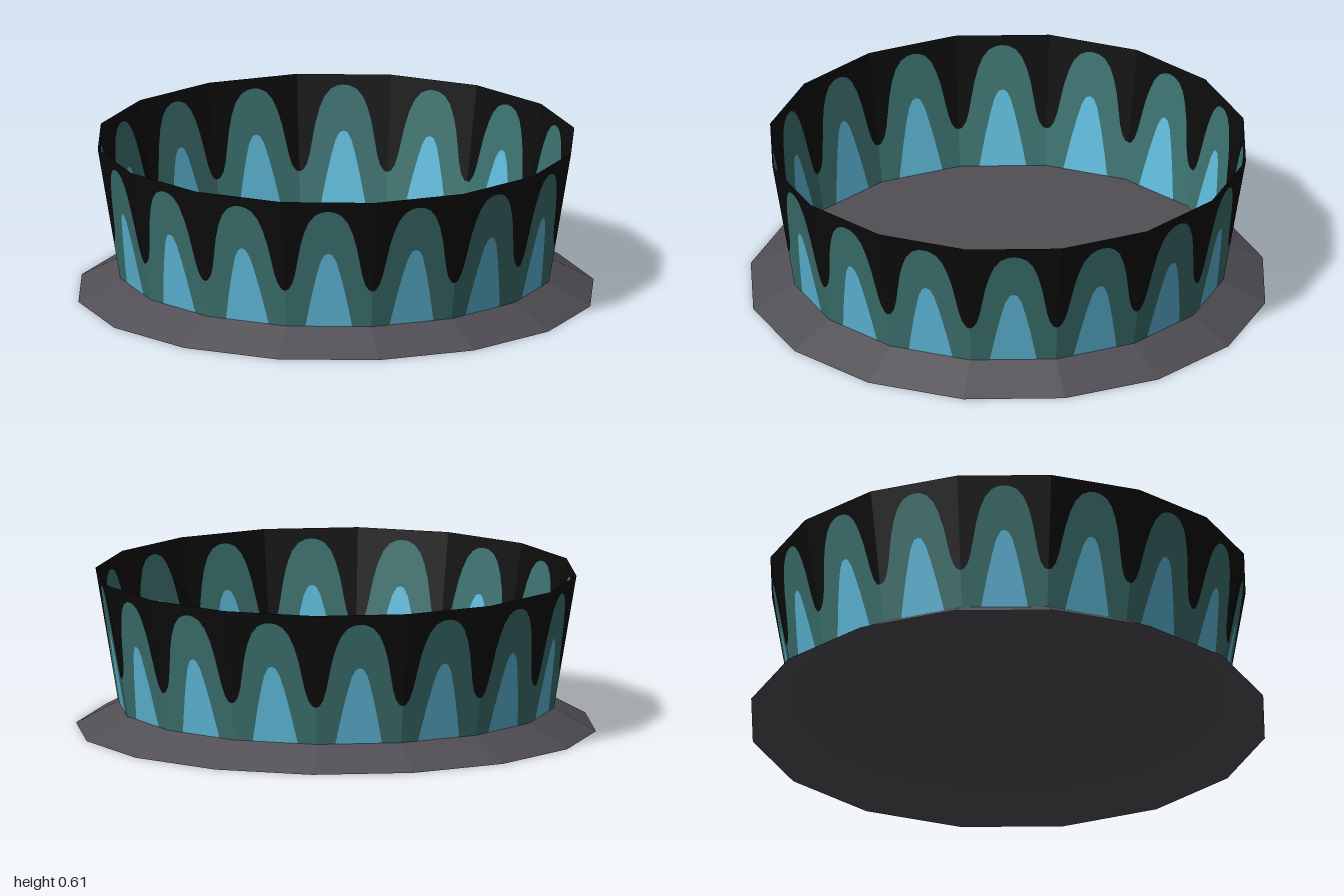
import * as THREE from 'three';
import { mergeGeometries } from 'three/addons/utils/BufferGeometryUtils.js';

const SIDES = 16;
const Y0 = 0.088, Y1 = 0.605; // wall bottom and top
const R0 = 0.838, R1 = 0.925; // wall radius at bottom and top

const material = (name, color) => {
  const m = new THREE.MeshStandardMaterial({ color, side: THREE.DoubleSide });
  m.name = name;
  return m;
};

// Half outlines of one flame: [fraction of half panel width, height]
const outerFlame = [[1, 0.235], [0.92, 0.24], [0.83, 0.262], [0.76, 0.3], [0.69, 0.36], [0.62, 0.42],
  [0.53, 0.475], [0.42, 0.52], [0.28, 0.55], [0.13, 0.563], [0, 0.566]];
const innerFlame = [[0.55, Y0], [0.46, 0.16], [0.37, 0.23], [0.27, 0.3], [0.18, 0.355], [0.09, 0.384], [0, 0.391]];

// Full outline, right to left over the tip
const mirrored = (half) => [...half, ...half.slice(0, -1).reverse().map(([u, y]) => [-u, y])];

// Flat shape in panel space, bent onto the tapered panel number i
function panelPiece(points, i) {
  const geo = new THREE.ShapeGeometry(new THREE.Shape(points.map(([u, y]) => new THREE.Vector2(u, y))));
  const pos = geo.attributes.position;
  const half = Math.PI / SIDES;
  for (let k = 0; k < pos.count; k++) {
    const u = pos.getX(k), y = pos.getY(k);
    const r = R0 + (R1 - R0) * (y - Y0) / (Y1 - Y0);
    pos.setXYZ(k, u * r * Math.sin(half), y, r * Math.cos(half));
  }
  geo.rotateY((2 * i + 1) * half);
  geo.computeVertexNormals();
  return geo;
}

function ring(points) {
  return mergeGeometries(Array.from({ length: SIDES }, (_, i) => panelPiece(points, i)));
}

export function createModel() {
  const model = new THREE.Group();
  model.name = 'flameRing';
  const grey = material('baseGrey', 0x514f55);
  const black = material('rimBlack', 0x0c0c0c);
  const teal = material('flameTeal', 0x3c716f);
  const blue = material('flameBlue', 0x60bbdc);

  const add = (name, geo, mat) => {
    const mesh = new THREE.Mesh(geo, mat);
    mesh.name = name;
    model.add(mesh);
    return mesh;
  };

  // Flared foot, open underneath
  const foot = new THREE.CylinderGeometry(R0, 1, Y0, SIDES, 1, true).toNonIndexed();
  foot.computeVertexNormals();
  add('flaredFoot', foot, grey).position.y = Y0 / 2;

  // Floor inside the ring, with a corner towards the front
  const floor = new THREE.CircleGeometry(R0, SIDES).rotateX(-Math.PI / 2);
  add('floor', floor, grey).position.y = Y0;

  // Wall: three colour zones that fit edge to edge on each panel
  const outer = mirrored(outerFlame), inner = mirrored(innerFlame);
  const innerBack = [...inner].reverse();
  add('wallRim', ring([[-1, Y1], ...[...outer].reverse(), [1, Y1]]), black);
  add('outerFlames', ring([[1, Y0], ...outer, [-1, Y0], ...innerBack]), teal);
  add('innerFlames', ring(inner), blue);
  return model;
}
